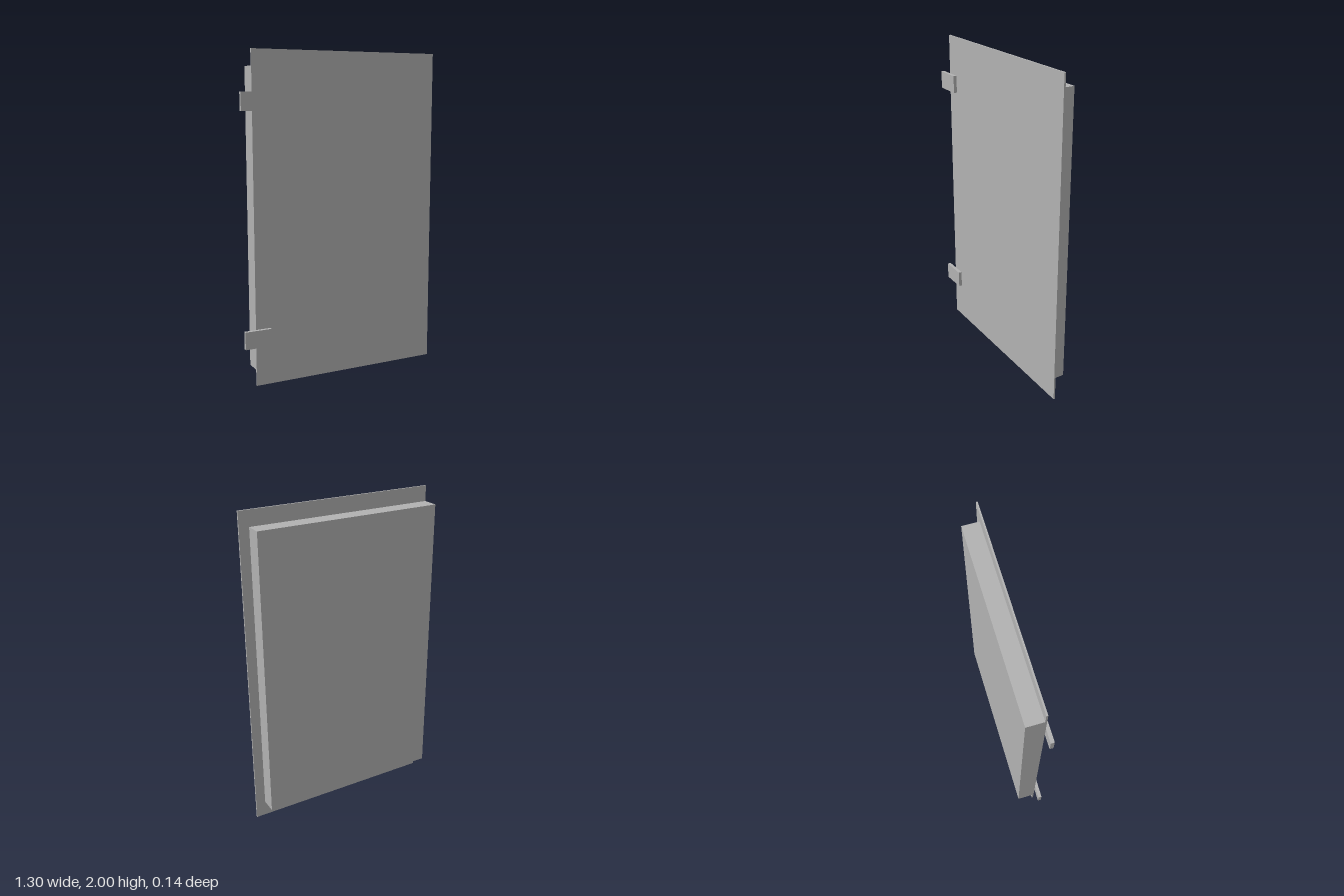
import * as THREE from 'three';

export function createModel() {
  const group = new THREE.Group();
  const grey = new THREE.MeshStandardMaterial({ color: 0xb2b2b2 });
  grey.name = 'grey';

  // Box given by its minimum and maximum corners
  const addBox = (name, [x0, y0, z0], [x1, y1, z1]) => {
    const mesh = new THREE.Mesh(new THREE.BoxGeometry(x1 - x0, y1 - y0, z1 - z0), grey);
    mesh.position.set((x0 + x1) / 2, (y0 + y1) / 2, (z0 + z1) / 2);
    mesh.name = name;
    group.add(mesh);
  };

  // Thick door core, flush with the face sheet on the hinge side
  addBox('doorCore', [-0.577, 0.098, -0.068], [0.591, 1.905, 0.034]);

  // Thin face sheet overlapping the core at the top, bottom and latch side
  addBox('faceSheet', [-0.577, 0, 0.034], [0.652, 2, 0.044]);

  // Hinge plates sticking out past the edge
  for (const [name, y] of [['lowerHinge', 0.299], ['upperHinge', 1.704]]) {
    addBox(name, [-0.652, y - 0.054, 0.047], [-0.486, y + 0.054, 0.068]);
  }

  return group;
}
